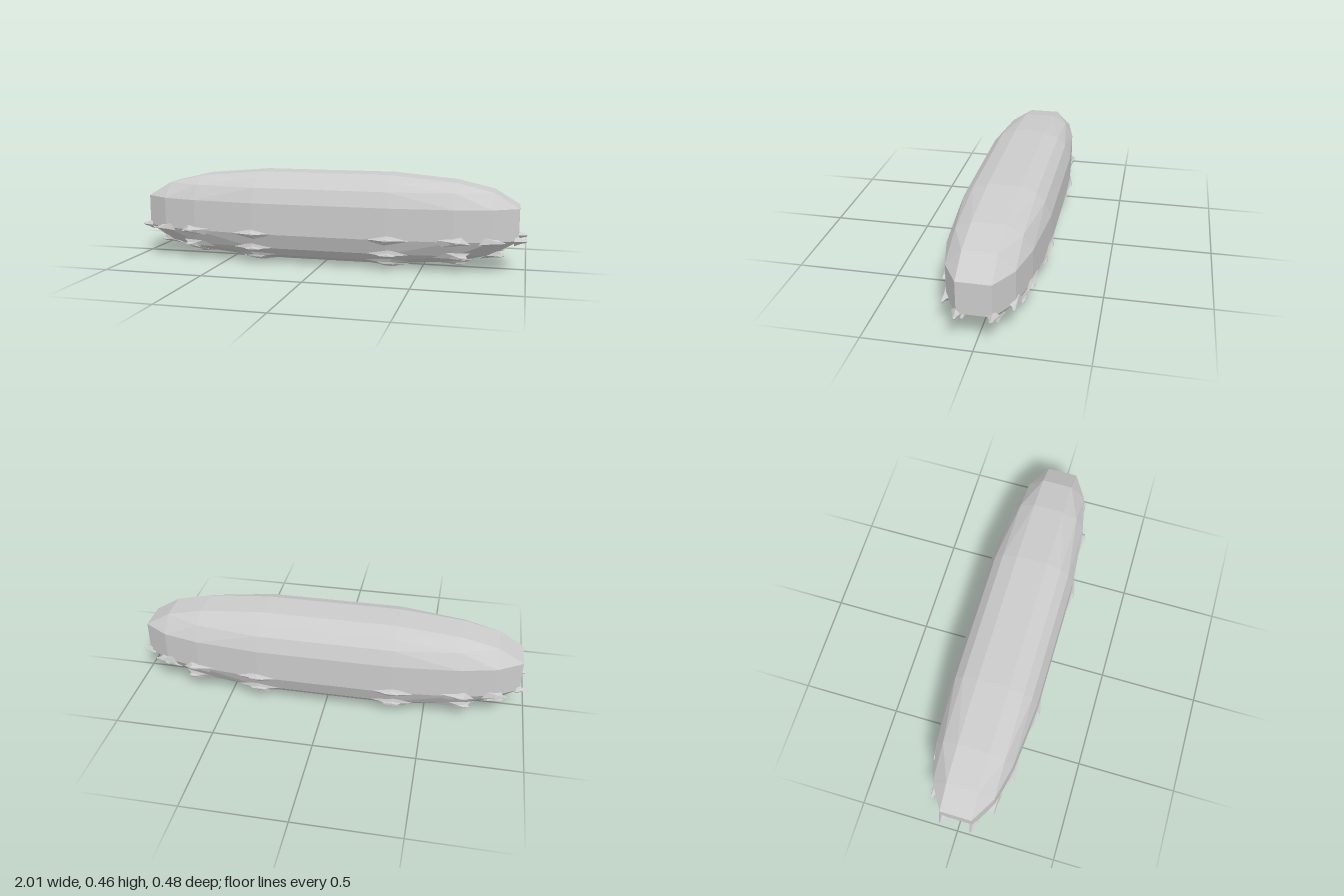
import * as THREE from 'three';
import { ConvexGeometry } from 'three/addons/geometries/ConvexGeometry.js';

const STRETCH = 4.33;   // hull is a faceted ball stretched along x
const CENTRE_Y = 0.2345;
const [A, B, C, D] = [0.078, 0.1525, 0.194, 0.2225]; // facet levels

// One octant of corners, mirrored to all eight
function corners() {
  const octant = [
    [D, A, A], [A, D, A], [A, A, D], [B, B, B],
    [C, B, A], [C, A, B], [B, C, A], [A, C, B], [B, A, C], [A, B, C],
  ];
  const points = [];
  for (const sx of [1, -1]) for (const sy of [1, -1]) for (const sz of [1, -1]) {
    for (const [x, y, z] of octant) points.push(new THREE.Vector3(x * sx, y * sy, z * sz));
  }
  return points;
}

// Flared four-sided stud pointing outward from a corner
function studGeometry(corner) {
  const dir = new THREE.Vector3(corner.x ** 3, corner.y ** 3, corner.z ** 3).normalize();
  const h = 0.0085 * Math.abs(dir.x) + 0.012 * Math.abs(dir.y) + 0.0155 * Math.abs(dir.z);
  const profile = [[0.026, -0.004], [0.012, h * 0.35], [0.007, h * 0.85], [0, h]]
    .map(([r, y]) => new THREE.Vector2(r, y));
  const geometry = new THREE.LatheGeometry(profile, 4);
  geometry.applyQuaternion(new THREE.Quaternion().setFromUnitVectors(new THREE.Vector3(0, 1, 0), dir));
  return geometry.translate(corner.x, corner.y, corner.z);
}

export function createModel() {
  const group = new THREE.Group();
  group.name = 'studdedCapsule';
  const material = new THREE.MeshStandardMaterial({
    color: 0xcccccc, flatShading: true, side: THREE.DoubleSide,
  });
  const add = (parent, name, geometry) => {
    geometry.scale(STRETCH, 1, 1).translate(0, CENTRE_Y, 0);
    const mesh = new THREE.Mesh(geometry, material);
    mesh.name = name;
    parent.add(mesh);
  };

  // Faceted hull
  const points = corners();
  add(group, 'hull', new ConvexGeometry(points));

  // Studs on every corner of the lower half
  const studs = new THREE.Group();
  studs.name = 'studs';
  for (const p of points) if (p.y < 0) add(studs, 'stud', studGeometry(p));
  group.add(studs);
  return group;
}
